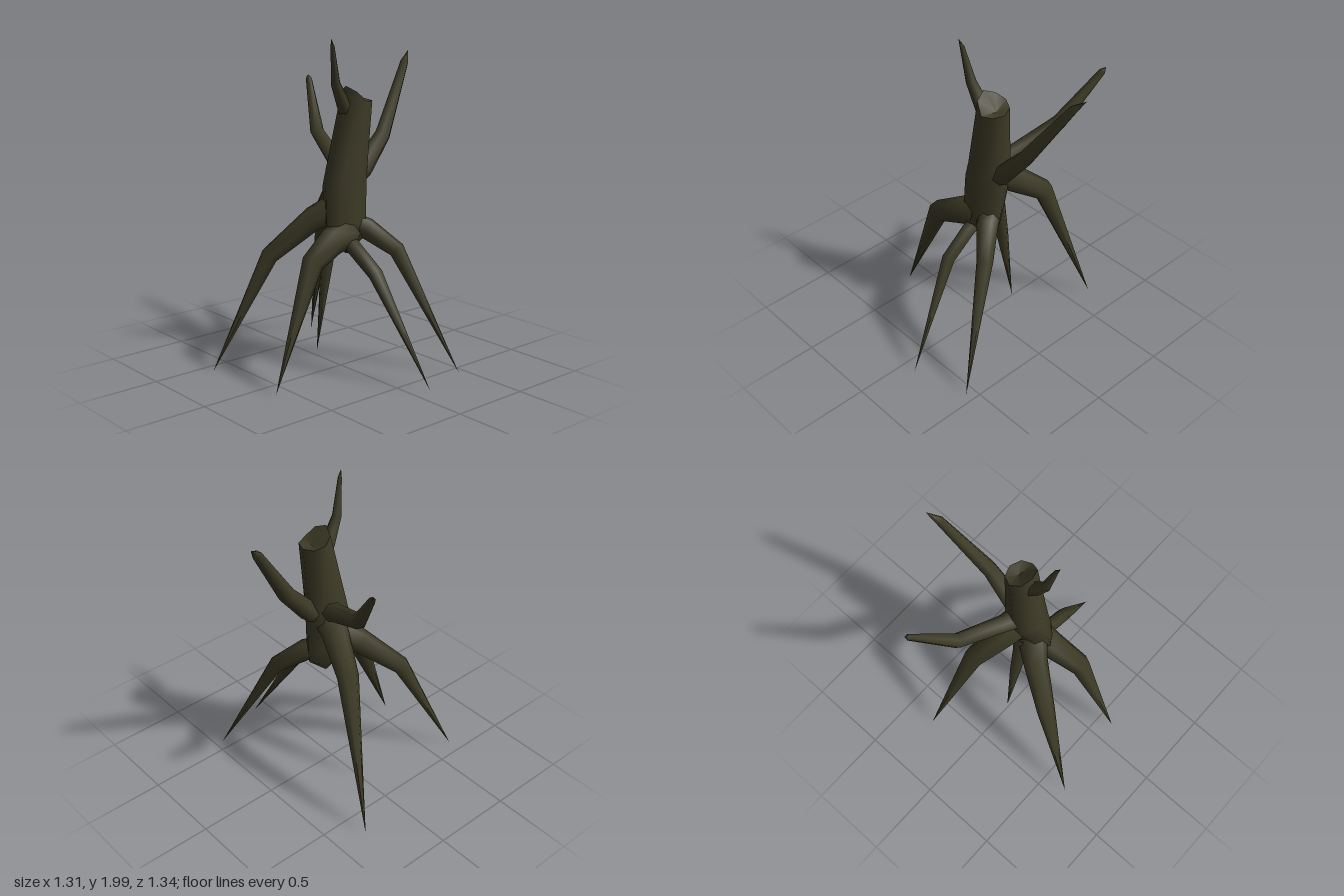
import * as THREE from 'three';

const SIDES = 8;

// Skins a stack of closed rings (arrays of Vector3) with shared, smooth vertices
function skin(rings) {
  const n = rings[0].length;
  const index = [];
  for (let i = 0; i < rings.length - 1; i++) {
    for (let j = 0; j < n; j++) {
      const a = i * n + j, b = i * n + (j + 1) % n;
      index.push(a, b, b + n, a, b + n, a + n);
    }
  }
  const geo = new THREE.BufferGeometry().setFromPoints(rings.flat());
  geo.setIndex(index);
  geo.computeVertexNormals();
  return geo;
}

// Tapering limb along points [x, y, z, radius]
function limb(points, sides = 6) {
  const p = points.map(q => new THREE.Vector3(q[0], q[1], q[2]));
  const last = p.length - 1;
  const run = p[last].clone().sub(p[0]);
  const side = new THREE.Vector3(run.z, 0, -run.x).normalize();
  return skin(p.map((c, i) => {
    const t = new THREE.Vector3();
    if (i > 0) t.add(c.clone().sub(p[i - 1]).normalize());
    if (i < last) t.add(p[i + 1].clone().sub(c).normalize());
    t.normalize();
    const u = side.clone().addScaledVector(t, -side.dot(t)).normalize();
    const v = t.clone().cross(u);
    return Array.from({ length: sides }, (_, j) => {
      const a = j / sides * Math.PI * 2, r = points[i][3];
      return c.clone().addScaledVector(u, Math.cos(a) * r).addScaledVector(v, Math.sin(a) * r);
    });
  }));
}

export function createModel() {
  const group = new THREE.Group();
  const bark = new THREE.MeshStandardMaterial({ color: 0x3d3a26 });
  bark.name = 'dark bark';
  const add = (name, geo) => {
    const mesh = new THREE.Mesh(geo, bark);
    mesh.name = name;
    group.add(mesh);
  };

  // Trunk: rings of [y, centre x, centre z, radius x, radius z]
  const rim = [0, 0, 0, 0.01, 0.03, 0.06, 0.09, 0.06];
  const levels = [
    [0.72, 0.03, 0.02, 0.01, 0.01],
    [0.82, 0.03, 0.03, 0.12, 0.08],
    [0.92, 0.02, 0.02, 0.145, 0.095],
    [1.12, 0.03, 0.0, 0.145, 0.115],
    [1.22, 0.045, 0.0, 0.13, 0.115],
    [1.63, 0.105, 0.025, 0.085, 0.095],
  ];
  const rings = levels.map(([y, cx, cz, rx, rz], i) =>
    Array.from({ length: SIDES }, (_, j) => {
      const a = j / SIDES * Math.PI * 2;
      const lift = i === levels.length - 1 ? rim[j] : 0;
      return new THREE.Vector3(cx + rx * Math.sin(a), y + lift, cz + rz * Math.cos(a));
    }));
  add('trunk', skin(rings));

  // Broken top of the trunk
  const edge = rings[rings.length - 1];
  const hollow = edge.map(() => new THREE.Vector3(0.12, 1.62, 0.02));
  add('brokenTop', skin([edge.map(q => q.clone()), hollow]));

  // Roots
  const roots = {
    backRightRoot: [[-0.03, 0.99, -0.03, 0.09], [-0.12, 0.93, -0.11, 0.075], [-0.34, 0.71, -0.255, 0.055], [-0.655, 0.01, -0.415, 0]],
    rightRoot: [[0.02, 0.86, 0.04, 0.1], [-0.12, 0.82, 0.06, 0.085], [-0.3, 0.73, 0.1, 0.068], [-0.595, 0.01, 0.125, 0]],
    frontRoot: [[0, 0.82, 0.04, 0.05], [0, 0.77, 0.13, 0.046], [0.01, 0.65, 0.3, 0.044], [0.1, 0.02, 0.67, 0]],
    frontLeftRoot: [[0.08, 0.89, 0.03, 0.07], [0.13, 0.865, 0.095, 0.065], [0.25, 0.74, 0.225, 0.05], [0.45, 0.01, 0.565, 0]],
    backRoot: [[0.06, 1.13, -0.03, 0.09], [0.08, 1.09, -0.12, 0.085], [0.165, 0.93, -0.33, 0.066], [0.305, 0.01, -0.655, 0]],
    innerRoot: [[0.02, 1.02, -0.06, 0.06], [0.01, 0.88, -0.095, 0.05], [0.01, 0.6, -0.145, 0.038], [0.01, 0.03, -0.24, 0]],
  };
  for (const name in roots) add(name, limb(roots[name]));

  // Bare branches
  const branches = {
    leftBranch: [[0.1, 1.17, 0.005, 0.06], [0.17, 1.215, 0.005, 0.065], [0.33, 1.4, 0.005, 0.05], [0.59, 1.81, -0.085, 0.027], [0.655, 1.88, -0.12, 0]],
    backBranch: [[0.07, 1.21, -0.05, 0.07], [0.09, 1.24, -0.14, 0.055], [0.18, 1.38, -0.43, 0.045], [0.295, 1.685, -0.65, 0.02], [0.305, 1.71, -0.67, 0]],
    topBranch: [[0.06, 1.53, 0.01, 0.045], [0.01, 1.6, 0.02, 0.045], [-0.068, 1.74, 0.035, 0.03], [-0.112, 1.955, 0.06, 0.013], [-0.13, 2, 0.07, 0]],
  };
  for (const name in branches) add(name, limb(branches[name]));

  return group;
}
